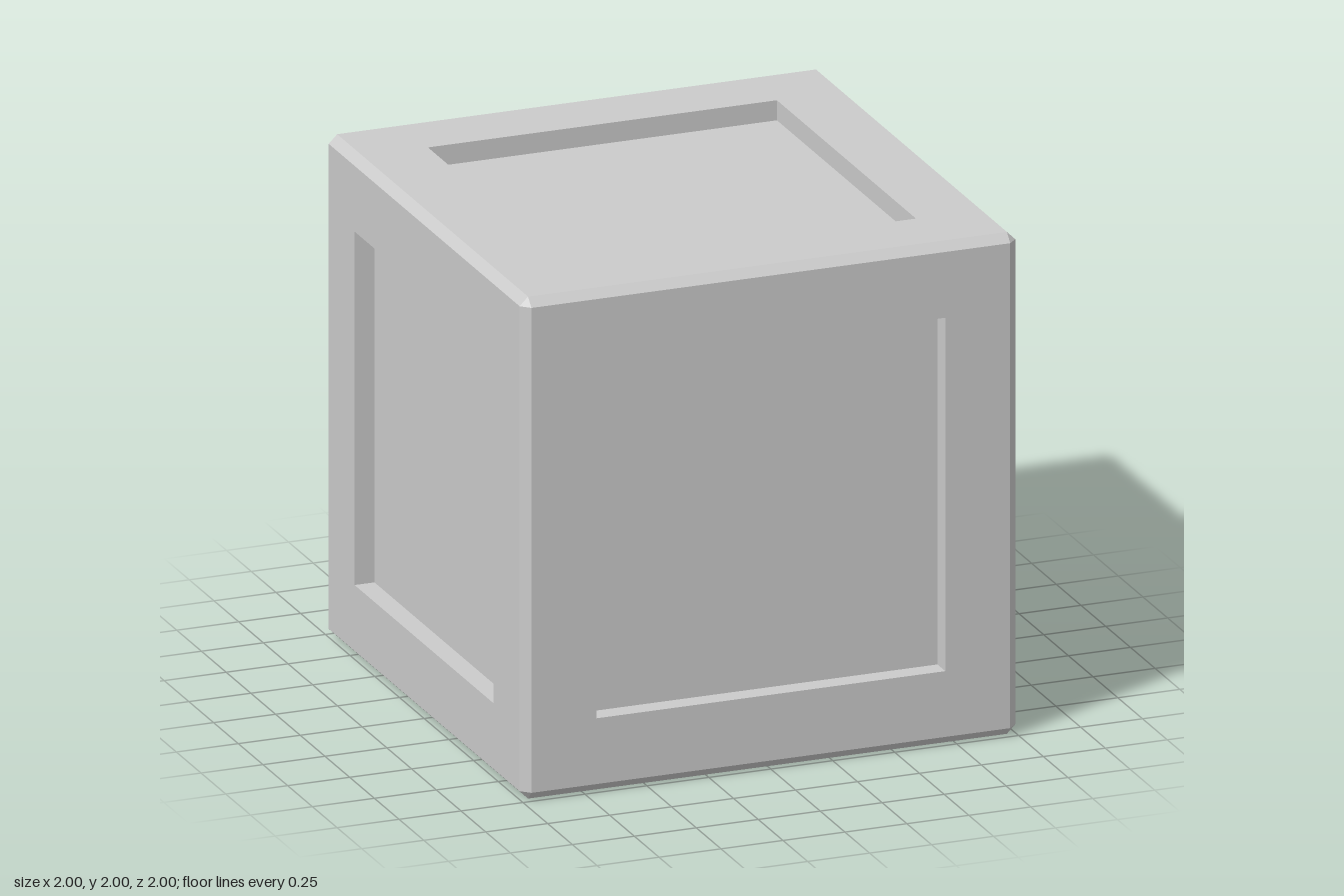
import * as THREE from 'three';
import { mergeGeometries } from 'three/addons/utils/BufferGeometryUtils.js';

const FLAT = 0.966;   // half width of each flat face inside the bevel
const PANEL = 0.704;  // half width of the recessed panel
const DEPTH = 0.08;   // recess depth
const Q = Math.PI / 2;

const square = (path, h) => path.moveTo(-h, -h).lineTo(h, -h).lineTo(h, h).lineTo(-h, h).closePath();

// Square frame facing +z
function frameGeometry() {
  const shape = square(new THREE.Shape(), FLAT);
  shape.holes.push(square(new THREE.Path(), PANEL));
  return new THREE.ShapeGeometry(shape).translate(0, 0, 1);
}

// Sunken panel with its four side walls, facing +z
function recessGeometry() {
  const parts = [new THREE.PlaneGeometry(2 * PANEL, 2 * PANEL).translate(0, 0, 1 - DEPTH)];
  for (let i = 0; i < 4; i++) {
    parts.push(new THREE.PlaneGeometry(2 * PANEL, DEPTH)
      .rotateX(Q).translate(0, PANEL, 1 - DEPTH / 2).rotateZ(i * Q));
  }
  return mergeGeometries(parts);
}

// Twelve bevel strips, four along each axis
function edgeGeometry() {
  const parts = [];
  for (const [rx, rz] of [[0, 0], [Q, 0], [0, Q]]) {
    for (let i = 0; i < 4; i++) {
      parts.push(new THREE.PlaneGeometry((1 - FLAT) * Math.SQRT2, 2 * FLAT)
        .translate(0, 0, (1 + FLAT) / Math.SQRT2)
        .rotateY(Q / 2 + i * Q).rotateX(rx).rotateZ(rz));
    }
  }
  return mergeGeometries(parts);
}

// Eight triangular corner facets
function cornerGeometry() {
  const points = [];
  for (const x of [-1, 1]) for (const y of [-1, 1]) for (const z of [-1, 1]) {
    const tri = [[x, y * FLAT, z * FLAT], [x * FLAT, y, z * FLAT], [x * FLAT, y * FLAT, z]];
    if (x * y * z < 0) tri.reverse();
    points.push(...tri.flat());
  }
  const geometry = new THREE.BufferGeometry();
  geometry.setAttribute('position', new THREE.Float32BufferAttribute(points, 3));
  geometry.computeVertexNormals();
  return geometry;
}

export function createModel() {
  const model = new THREE.Group();
  model.name = 'panelledCrate';
  const material = new THREE.MeshStandardMaterial({ color: 0xcccccc, flatShading: true });
  const mesh = (name, geometry) => {
    const m = new THREE.Mesh(geometry, material);
    m.name = name;
    return m;
  };

  // Six identical sides
  const frame = frameGeometry();
  const recess = recessGeometry();
  const sides = {
    front: [0, 0], left: [0, Q], back: [0, 2 * Q], right: [0, -Q], top: [-Q, 0], bottom: [Q, 0],
  };
  for (const [name, [rx, ry]] of Object.entries(sides)) {
    const side = new THREE.Group();
    side.name = name + 'Side';
    side.add(mesh(name + 'Frame', frame), mesh(name + 'Panel', recess));
    side.rotation.set(rx, ry, 0);
    side.position.y = 1;
    model.add(side);
  }

  // Bevelled edges and corners
  const edges = mesh('bevelledEdges', edgeGeometry());
  const corners = mesh('bevelledCorners', cornerGeometry());
  edges.position.y = corners.position.y = 1;
  model.add(edges, corners);
  return model;
}
